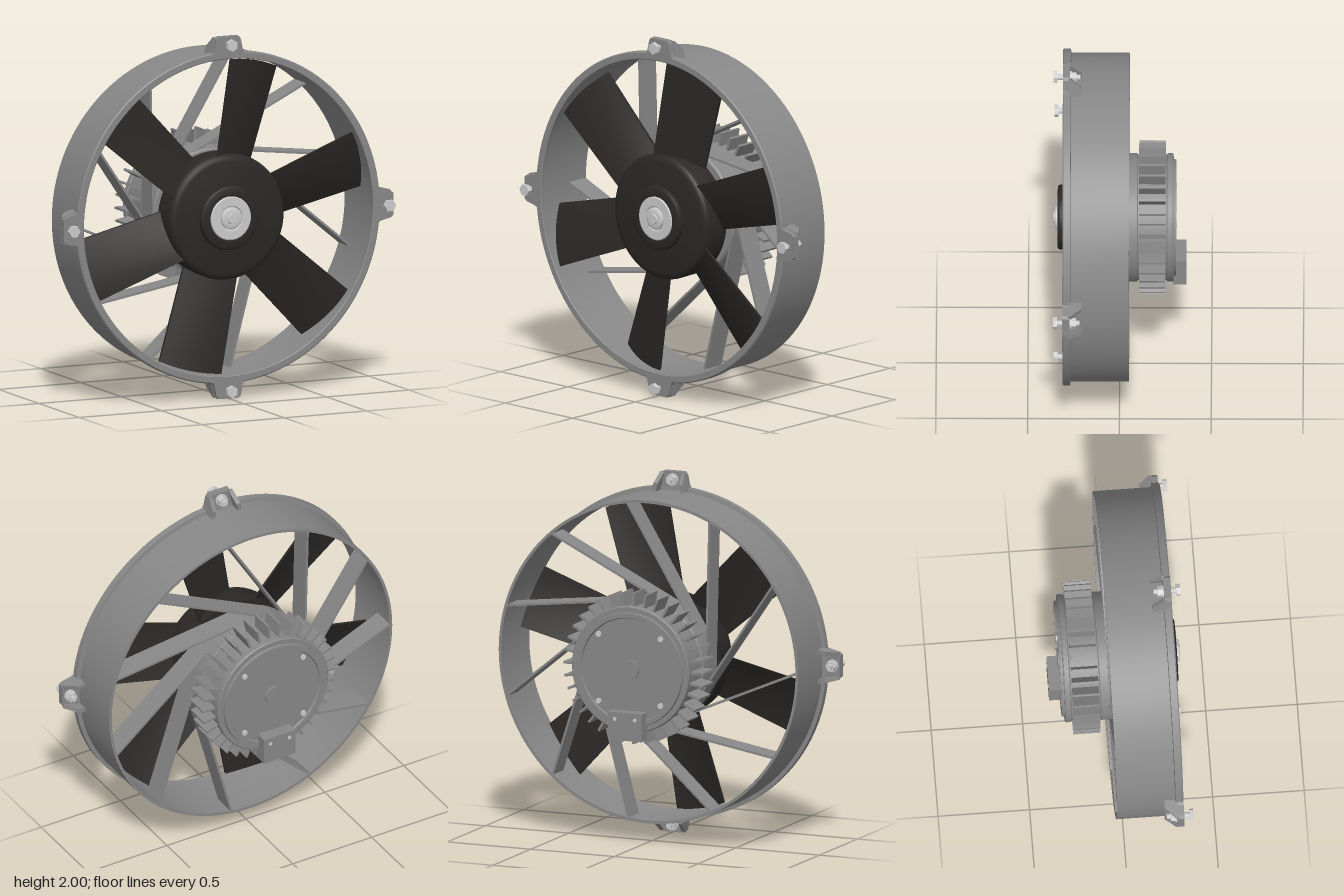
import * as THREE from 'three';
import { toCreasedNormals } from 'three/addons/utils/BufferGeometryUtils.js';

const housing = new THREE.MeshStandardMaterial({ color: 0x888888 });
const dark = new THREE.MeshStandardMaterial({ color: 0x2b2826 });
const bright = new THREE.MeshStandardMaterial({ color: 0xcccccc });

function add(parent, name, geometry, material) {
  const mesh = new THREE.Mesh(geometry, material);
  mesh.name = name;
  parent.add(mesh);
  return mesh;
}

// Turned part about the z axis; profile points are [radius, z], outer side running towards +z
function turned(parent, name, profile, material, segments = 96) {
  const g = new THREE.LatheGeometry(profile.map(([r, z]) => new THREE.Vector2(r, z)), segments);
  g.rotateX(Math.PI / 2);
  return add(parent, name, toCreasedNormals(g, 0.6), material);
}

// Solid cylinder along z
function disc(parent, name, r, z0, z1, material, sides = 32) {
  const g = new THREE.CylinderGeometry(r, r, z1 - z0, sides);
  g.rotateX(Math.PI / 2).translate(0, 0, (z0 + z1) / 2);
  return add(parent, name, toCreasedNormals(g, 0.6), material);
}

function extruded(points, depth) {
  const shape = new THREE.Shape(points.map(([x, y]) => new THREE.Vector2(x, y)));
  return new THREE.ExtrudeGeometry(shape, { depth, bevelEnabled: false });
}

// Pitched, cambered blade widening towards an arc-shaped tip
function bladeGeometry() {
  const g = new THREE.BoxGeometry(1, 1, 0.016, 10, 10, 1);
  const p = g.attributes.position;
  for (let i = 0; i < p.count; i++) {
    const u = p.getX(i) + 0.5, v = p.getY(i);
    const r = THREE.MathUtils.lerp(0.3, 0.867, u);
    const side = v * THREE.MathUtils.lerp(0.26, 0.335, u);
    const z = 0.22 + v * (0.13 - 0.03 * u) + 0.015 * (1 - 4 * v * v) + p.getZ(i);
    p.setXYZ(i, Math.sqrt(r * r - side * side), side, z);
  }
  return toCreasedNormals(g, 0.6);
}

// Mounting lug pointing along +y, with two cheeks and a bolt
function mountingLug() {
  const lug = new THREE.Group();
  lug.name = 'mountingLug';
  const plate = extruded([[-0.098, 0.9], [0.098, 0.9], [0.085, 0.93], [0.073, 0.985],
    [0.06, 1], [-0.06, 1], [-0.073, 0.985], [-0.085, 0.93]], 0.04);
  add(lug, 'lugPlate', plate.translate(0, 0, 0.27), housing);
  for (const s of [-1, 1]) {
    const g = extruded([[0.28, -0.055], [0.28, 0.045], [0.265, 0.045], [0.235, 0.015],
      [0.205, -0.01], [0.205, -0.055]], 0.024);
    g.translate(0, 0, -0.012).rotateY(-Math.PI / 2);
    const cheek = add(lug, 'lugCheek', g, housing);
    cheek.position.set(s * 0.073, 0.95, 0);
    cheek.rotation.z = s * 0.22;
  }
  const bolt = new THREE.Group();
  bolt.name = 'bolt';
  bolt.position.y = 0.957;
  disc(bolt, 'boltShank', 0.015, 0.215, 0.34, bright, 16);
  disc(bolt, 'boltHead', 0.034, 0.338, 0.36, bright, 6);
  disc(bolt, 'boltNut', 0.03, 0.235, 0.262, bright, 6);
  disc(bolt, 'boltWasher', 0.034, 0.26, 0.271, bright, 20);
  lug.add(bolt);
  return lug;
}

export function createModel() {
  const model = new THREE.Group();
  model.name = 'axialFan';
  const body = new THREE.Group();
  body.name = 'fanBody';
  body.position.y = 1;
  model.add(body);

  // Shroud with front flange
  turned(body, 'shroud', [[0.88, -0.052], [0.896, -0.052], [0.896, 0.265], [0.918, 0.268],
    [0.918, 0.304], [0.912, 0.31], [0.88, 0.31], [0.876, 0.306], [0.88, 0.27], [0.88, -0.052]], housing, 128);
  for (let i = 0; i < 4; i++) {
    const lug = mountingLug();
    lug.rotation.z = i * Math.PI / 2;
    body.add(lug);
  }

  // Thin stator vanes running tangentially from shroud to motor
  const vaneStart = 0.885, vaneTouch = 0.343;
  const vaneLength = Math.sqrt(vaneStart ** 2 - vaneTouch ** 2);
  const vane = new THREE.BoxGeometry(0.012, vaneLength, 0.13).translate(-vaneTouch, vaneLength / 2, 0.015);
  for (let i = 0; i < 11; i++) {
    add(body, 'statorVane', vane, housing).rotation.z = (i * 2 * Math.PI) / 11 + 0.025;
  }

  // Motor: can with stepped rear cover and raised rim
  turned(body, 'motorCan', [[0, -0.296], [0.05, -0.296], [0.285, -0.296], [0.29, -0.308],
    [0.315, -0.308], [0.318, -0.293], [0.345, -0.293], [0.35, -0.287], [0.35, -0.262], [0.342, -0.255],
    [0.342, -0.1], [0.35, -0.095], [0.35, 0.08], [0.34, 0.09], [0, 0.09]], housing);
  disc(body, 'rearBoss', 0.055, -0.31, -0.29, housing);
  disc(body, 'motorShaft', 0.06, 0.08, 0.16, housing);
  for (let i = 0; i < 4; i++) {
    const a = Math.PI / 4 + i * Math.PI / 2;
    disc(body, 'coverScrew', 0.016, -0.305, -0.29, bright, 12).position.set(0.262 * Math.cos(a), 0.262 * Math.sin(a), 0);
  }

  // Cooling fins around the motor
  const fin = new THREE.BoxGeometry(0.085, 0.013, 0.145).translate(0.3765, 0, -0.178);
  for (let i = 0; i < 36; i++) {
    add(body, 'coolingFin', fin, housing).rotation.z = (i * Math.PI) / 18;
  }

  // Connector box with two screws on the motor's rear
  add(body, 'connectorBox', new THREE.BoxGeometry(0.2, 0.155, 0.075), housing).position.set(0, -0.305, -0.326);
  for (const s of [-1, 1]) {
    disc(body, 'connectorScrew', 0.011, -0.366, -0.36, bright, 12).position.set(s * 0.06, -0.265, 0);
  }

  // Rotor: rounded hub, nose ring and six blades
  const rotor = new THREE.Group();
  rotor.name = 'rotor';
  body.add(rotor);
  turned(rotor, 'hub', [[0, 0.14], [0.345, 0.14], [0.348, 0.275], [0.342, 0.291], [0.33, 0.301],
    [0.31, 0.306], [0, 0.31]], dark);
  turned(rotor, 'noseRing', [[0.12, 0.3], [0.178, 0.3], [0.178, 0.325], [0.174, 0.333],
    [0.165, 0.338], [0.125, 0.338], [0.12, 0.33]], dark, 64);
  const blade = bladeGeometry();
  for (let i = 0; i < 6; i++) {
    add(rotor, 'blade', blade, dark).rotation.z = THREE.MathUtils.degToRad(17 + 60 * i);
  }

  // Centre washer and screw
  turned(rotor, 'hubWasher', [[0, 0.3], [0.121, 0.3], [0.121, 0.338], [0.117, 0.342], [0.07, 0.342],
    [0.066, 0.336], [0, 0.336]], bright, 48);
  turned(rotor, 'hubScrew', [[0, 0.33], [0.06, 0.33], [0.06, 0.35], [0.054, 0.354], [0.03, 0.354],
    [0.027, 0.36], [0, 0.36]], bright, 32);

  return model;
}
